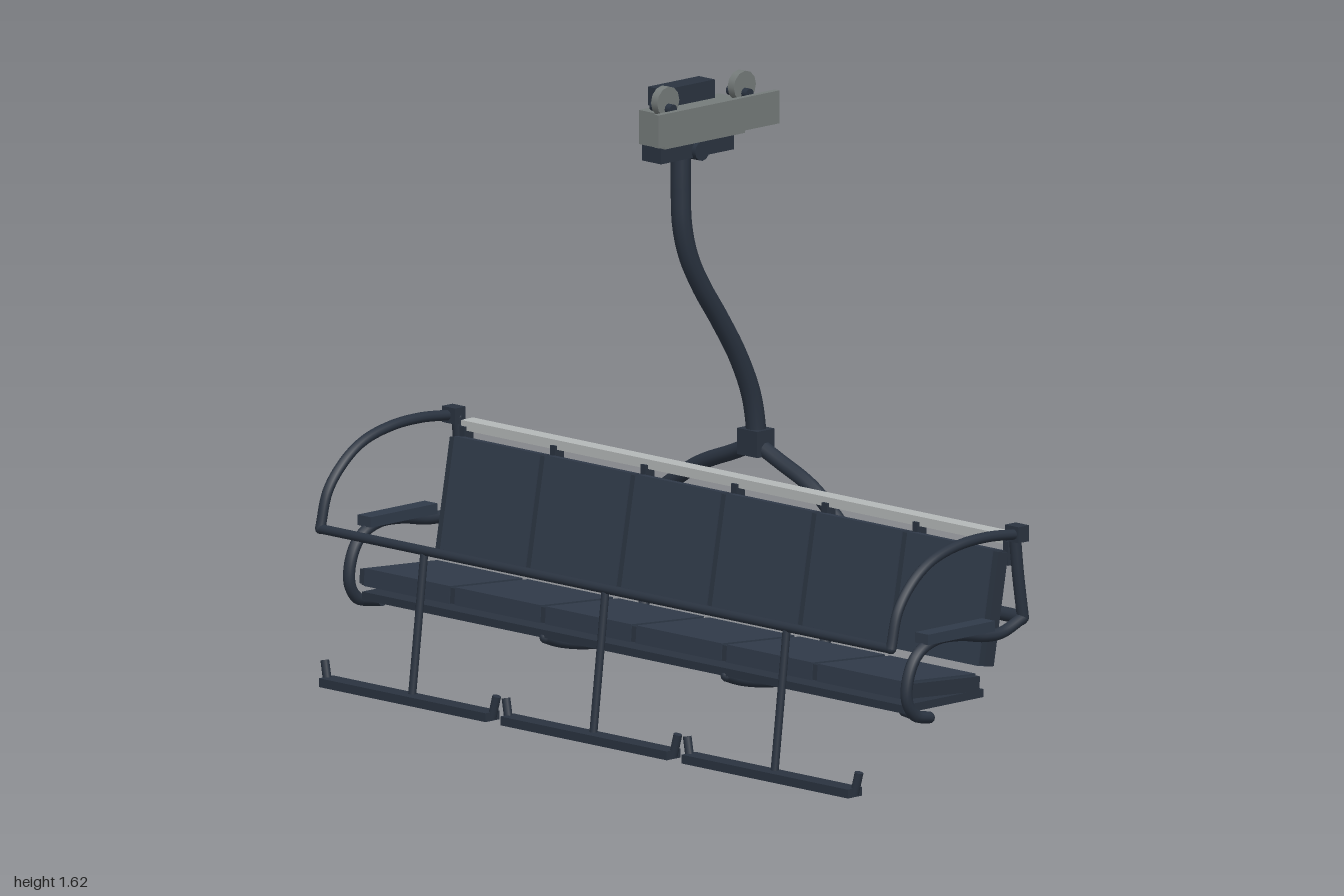
import * as THREE from 'three';

export function createModel() {
  const root = new THREE.Group();
  root.name = 'chairlift';
  const mat = (name, color) => {
    const m = new THREE.MeshStandardMaterial({ color });
    m.name = name;
    return m;
  };
  const frame = mat('dark steel', 0x2a3340);
  const pad = mat('slate cushion', 0x303a49);
  const grey = mat('grip grey', 0x757b7a);
  const light = mat('light trim', 0xb4b8b8);

  const add = (name, geo, material, parent = root) => {
    const m = new THREE.Mesh(geo, material);
    m.name = name;
    parent.add(m);
    return m;
  };
  // Box given by its centre and size
  const box = (name, material, [x, y, z], [w, h, d], parent = root) => {
    const m = add(name, new THREE.BoxGeometry(w, h, d), material, parent);
    m.position.set(x, y, z);
    return m;
  };
  // Straight capped rod between two points
  const rod = (name, material, a, b, r, parent = root) => {
    const p = new THREE.Vector3(...a), q = new THREE.Vector3(...b);
    const m = add(name, new THREE.CylinderGeometry(r, r, p.distanceTo(q), 12), material, parent);
    m.position.copy(p).add(q).multiplyScalar(0.5);
    m.quaternion.setFromUnitVectors(new THREE.Vector3(0, 1, 0), q.sub(p).normalize());
    return m;
  };
  // Bent tube through points, with closed ends
  const tube = (name, points, r, parent = root) => {
    const pts = points.map((p) => new THREE.Vector3(...p));
    const curve = new THREE.CatmullRomCurve3(pts, false, 'centripetal');
    add(name, new THREE.TubeGeometry(curve, pts.length * 6, r, 10), frame, parent);
    for (const t of [0, 1]) {
      const cap = add(name + 'End', new THREE.SphereGeometry(r, 10, 6), frame, parent);
      cap.position.copy(curve.getPoint(t));
    }
  };

  // Cable grip
  const grip = new THREE.Group();
  grip.name = 'cableGrip';
  root.add(grip);
  rod('gripPin', frame, [-0.068, 1.447, -0.03], [0.07, 1.447, -0.03], 0.025, grip);
  box('gripBase', frame, [0.025, 1.452, -0.025], [0.065, 0.042, 0.25], grip);
  box('gripBody', grey, [0.037, 1.516, -0.027], [0.09, 0.085, 0.275], grip);
  box('gripTop', frame, [0, 1.583, -0.027], [0.055, 0.046, 0.175], grip);
  box('gripSidePlate', grey, [0.122, 1.535, -0.027], [0.016, 0.082, 0.415], grip);
  for (const z of [0.105, -0.158]) {
    rod('gripWheel', grey, [0.066, 1.592, z], [0.088, 1.592, z], 0.038, grip);
    rod('wheelAxle', frame, [0.035, 1.575, z], [0.105, 1.575, z], 0.013, grip);
  }

  // Hanger pole and its junction
  tube('hangerPole', [
    [0, 1.44, -0.025], [0, 1.34, -0.025], [0, 1.25, -0.03], [0, 1.17, -0.052], [0, 1.09, -0.095],
    [0, 1.0, -0.157], [0, 0.9, -0.22], [0, 0.8, -0.265], [0, 0.72, -0.282], [0, 0.66, -0.285],
  ], 0.025);
  box('junctionBlock', frame, [0, 0.675, -0.283], [0.07, 0.065, 0.06]);

  // Rear rail and splayed hanger arms
  rod('rearRail', frame, [-0.965, 0.388, -0.243], [0.965, 0.388, -0.243], 0.018);
  for (const s of [-1, 1]) {
    tube('hangerArm', [
      [0, 0.67, -0.285], [s * 0.08, 0.637, -0.285], [s * 0.2, 0.588, -0.28],
      [s * 0.36, 0.475, -0.262], [s * 0.47, 0.39, -0.245],
    ], 0.02);
  }

  // Backrest: backing sheet, six cushions and dividing ribs
  const back = new THREE.Group();
  back.name = 'backrest';
  back.position.set(0, 0.418, -0.168);
  back.rotation.x = -0.18;
  root.add(back);
  box('backSheet', frame, [0, 0, -0.012], [1.88, 0.285, 0.018], back);

  // Seat: base plate and six cushions, tilted up at the front
  const seat = new THREE.Group();
  seat.name = 'seat';
  seat.position.set(0, 0.25, 0.013);
  seat.rotation.x = -0.07;
  root.add(seat);
  box('seatSheet', frame, [0, -0.008, 0], [1.88, 0.025, 0.245], seat);
  box('seatBase', frame, [0, 0.212, 0.002], [1.87, 0.02, 0.275]);

  const pitch = 0.313;
  for (let i = 0; i < 6; i++) {
    const x = (i - 2.5) * pitch;
    box('backCushion', pad, [x, 0, 0.004], [pitch - 0.018, 0.287, 0.036], back);
    box('seatCushion', pad, [x, 0, 0], [pitch - 0.018, 0.044, 0.25], seat);
  }
  for (let i = -3; i <= 3; i++) {
    const x = i * pitch;
    box('backRib', frame, [x, 0, 0.002], [0.018, 0.28, 0.034], back);
    box('seatRib', frame, [x, 0, 0], [0.018, 0.036, 0.245], seat);
    box('trimBracket', frame, [x, 0.55, -0.222], [0.018, 0.06, 0.03]);
  }
  box('backTopTrim', light, [0, 0.582, -0.235], [1.9, 0.024, 0.042]);

  // Hooks carrying the seat from the rear rail
  for (const s of [-1, 1]) {
    const x = s * pitch;
    tube('seatHook', [
      [x, 0.388, -0.243], [x, 0.31, -0.228], [x, 0.225, -0.205], [x, 0.175, -0.155],
      [x, 0.16, -0.1], [x, 0.163, -0.02], [x, 0.182, 0.08], [x, 0.2, 0.13],
    ], 0.014);
  }

  // End frames, armrests and restraint bar sides
  for (const s of [-1, 1]) {
    const x = s * 0.963;
    tube('endPost', [[x, 0.6, -0.215], [x, 0.5, -0.226], [x, 0.388, -0.243]], 0.015);
    tube('armLoop', [
      [x, 0.388, -0.243], [x, 0.362, -0.17], [x, 0.362, -0.11], [x, 0.378, -0.02], [x, 0.378, 0.06],
      [x, 0.35, 0.12], [x, 0.3, 0.15], [x, 0.24, 0.155], [x, 0.2, 0.128], [x, 0.188, 0.08],
    ], 0.015);
    rod('loopFoot', frame, [x, 0.192, 0.105], [s * 0.9, 0.2, 0.105], 0.014);
    box('armrest', pad, [x, 0.388, -0.01], [0.045, 0.026, 0.23]);
    box('barPivot', frame, [s * 0.973, 0.605, -0.213], [0.046, 0.04, 0.036]);
    tube('restraintSide', [
      [s * 0.978, 0.603, -0.213], [s * 0.979, 0.612, -0.1], [s * 0.98, 0.606, 0], [s * 0.982, 0.582, 0.09],
      [s * 0.983, 0.54, 0.155], [s * 0.985, 0.475, 0.208], [s * 0.986, 0.385, 0.233],
    ], 0.013);
  }
  rod('restraintBar', frame, [-0.986, 0.385, 0.233], [0.986, 0.385, 0.233], 0.012);

  // Three footrests hanging from the restraint bar
  for (const x of [-0.626, 0, 0.626]) {
    tube('footrestStem', [[x, 0.385, 0.233], [x, 0.2, 0.255], [x, 0.025, 0.276]], 0.01);
    box('footrestBar', frame, [x, 0.024, 0.285], [0.575, 0.022, 0.048]);
    for (const s of [-1, 1]) {
      rod('footrestTip', frame, [x + s * 0.284, 0.02, 0.283], [x + s * 0.297, 0.075, 0.28], 0.011);
    }
  }
  return root;
}
